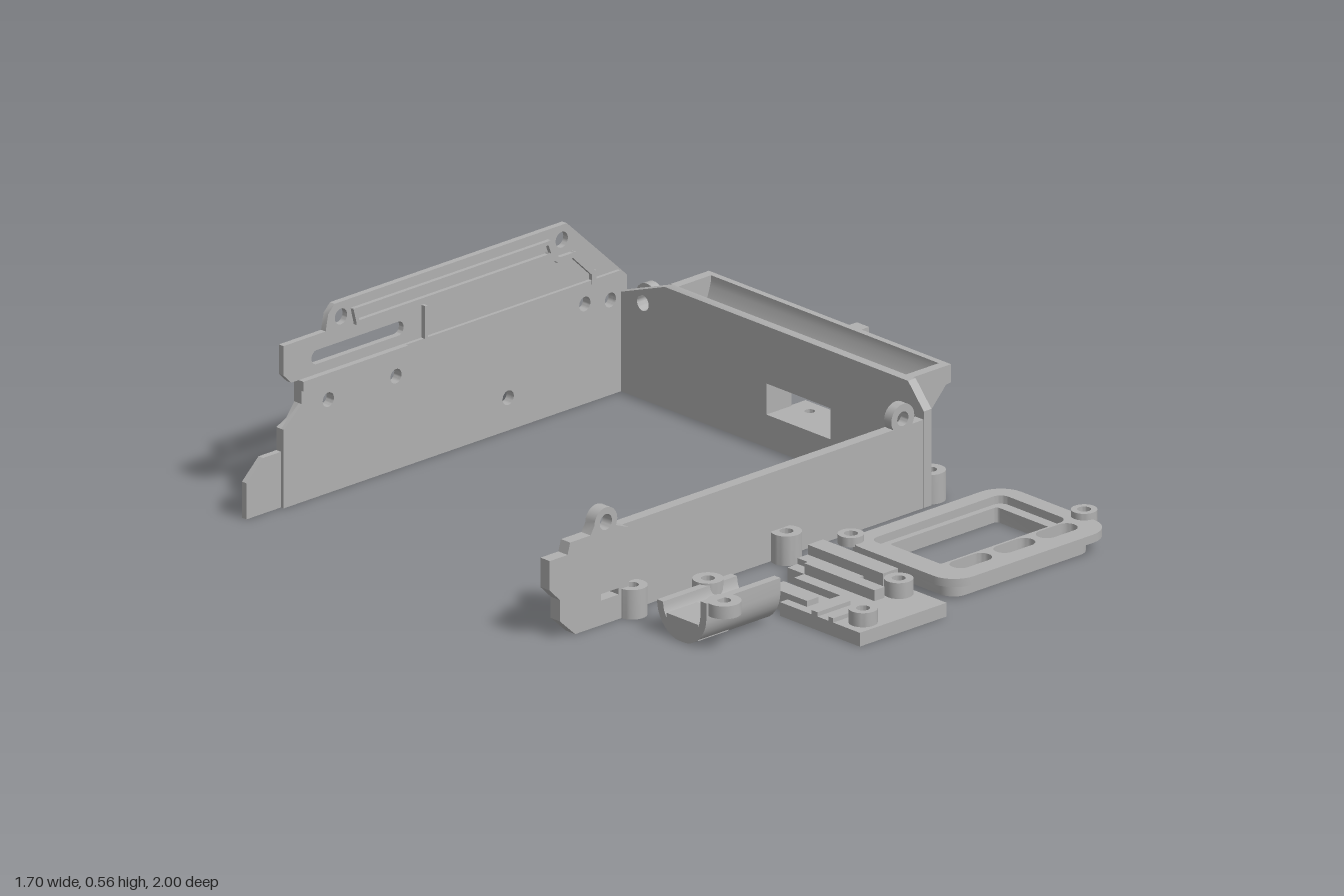
import * as THREE from 'three';
import { toCreasedNormals } from 'three/addons/utils/BufferGeometryUtils.js';

const grey = new THREE.MeshStandardMaterial({ color: 0xb0b0b0 });
grey.name = 'plain grey';

// Outlines as point lists
const rect = (x0, y0, x1, y1) => [[x0, y0], [x1, y0], [x1, y1], [x0, y1]];
const arc = (cx, cy, r, a0 = 0, a1 = 360, n = 28) =>
  Array.from({ length: n }, (_, i) => {
    const a = THREE.MathUtils.degToRad(a0 + (a1 - a0) * i / (a1 - a0 === 360 ? n : n - 1));
    return [cx + r * Math.cos(a), cy + r * Math.sin(a)];
  });
const rounded = (x0, y0, x1, y1, r) => [
  ...arc(x1 - r, y1 - r, r, 0, 90, 8), ...arc(x0 + r, y1 - r, r, 90, 180, 8),
  ...arc(x0 + r, y0 + r, r, 180, 270, 8), ...arc(x1 - r, y0 + r, r, 270, 360, 8)];
const toVec = pts => pts.map(p => new THREE.Vector2(...p));

// Slab between lo and hi along an axis; outline is (x,y) for z, (x,z) for y, (z,y) for x
function slab(parent, name, axis, lo, hi, outline, holes = []) {
  const shape = new THREE.Shape(toVec(outline));
  shape.holes = holes.map(h => new THREE.Path(toVec(h)));
  let g = new THREE.ExtrudeGeometry(shape, { depth: hi - lo, bevelEnabled: false });
  if (axis === 'z') g.translate(0, 0, lo);
  if (axis === 'y') g.rotateX(Math.PI / 2).translate(0, hi, 0);
  if (axis === 'x') g.rotateY(-Math.PI / 2).translate(hi, 0, 0);
  g = toCreasedNormals(g, 0.6);
  const mesh = new THREE.Mesh(g, grey);
  mesh.name = name;
  parent.add(mesh);
}
const box = (parent, name, x0, x1, y0, y1, z0, z1) =>
  slab(parent, name, 'y', y0, y1, rect(x0, z0, x1, z1));
const boss = (parent, name, x, z, y0, y1, r = 0.045, hole = 0.02) =>
  slab(parent, name, 'y', y0, y1, arc(x, z, r), [arc(x, z, hole)]);

// Raised bead following a polyline on the back wall
function bead(parent, pts, w, z0, z1) {
  for (let i = 0; i < pts.length - 1; i++) {
    const [a, b] = [pts[i], pts[i + 1]];
    const d = [b[0] - a[0], b[1] - a[1]], l = Math.hypot(...d);
    const u = [d[0] / l * w / 2, d[1] / l * w / 2];
    slab(parent, 'bead', 'z', z0, z1, [
      [a[0] - u[0] + u[1], a[1] - u[1] - u[0]], [b[0] + u[0] + u[1], b[1] + u[1] - u[0]],
      [b[0] + u[0] - u[1], b[1] + u[1] + u[0]], [a[0] - u[0] - u[1], a[1] - u[1] + u[0]]]);
  }
}

function backWall(p) {
  const low = [[-0.505, 0.285], [-0.24, 0.285], [0.5, 0.305], [0.6, 0.29], [0.2, 0.1]].map(c => arc(...c, 0.022));
  const high = [[-0.445, 0.52], [0.42, 0.52]].map(c => arc(...c, 0.024));
  slab(p, 'backWallSheet', 'z', -0.935, -0.916, [
    [-0.815, 0], [0.675, 0], [0.675, 0.345], [0.44, 0.565], [-0.47, 0.565], [-0.495, 0.54],
    [-0.505, 0.49], [-0.67, 0.49], [-0.67, 0.4], [-0.64, 0.37], [-0.61, 0.37], [-0.61, 0.3],
    [-0.64, 0.26], [-0.68, 0.24], [-0.68, 0.17], [-0.75, 0.17], [-0.815, 0.11]],
  [...low, ...high, rounded(-0.56, 0.4, -0.2, 0.443, 0.02)]);
  slab(p, 'backWallLiner', 'z', -0.916, -0.905,
    [[-0.68, 0], [0.66, 0], [0.66, 0.35], [0.64, 0.37], [-0.61, 0.37], [-0.61, 0.3], [-0.68, 0.24]], low);
  box(p, 'ledge', -0.61, -0.2, 0.34, 0.37, -0.905, -0.897);
  box(p, 'rib', -0.13, -0.12, 0.37, 0.47, -0.916, -0.9);
  bead(p, [[-0.4, 0.53], [0.36, 0.53], [0.375, 0.49], [-0.39, 0.49], [-0.4, 0.53]], 0.012, -0.916, -0.903);
  bead(p, [[0.36, 0.49], [0.4, 0.467], [0.455, 0.467], [0.535, 0.39], [0.535, 0.365]], 0.016, -0.916, -0.903);
}

function frontWall(p) {
  slab(p, 'frontWallPanel', 'z', 0.31, 0.345, rect(-0.57, 0, 0.67, 0.27));
  slab(p, 'frontWallEnd', 'z', 0.335, 0.373, [
    [-0.75, 0], [-0.54, 0], [-0.54, 0.27], [-0.59, 0.29], ...arc(-0.63, 0.31, 0.045, 0, 180, 12),
    [-0.69, 0.285], [-0.77, 0.285], [-0.78, 0.25], [-0.85, 0.25], [-0.85, 0.16], [-0.81, 0.12], [-0.81, 0.055]],
  [arc(-0.63, 0.31, 0.024), rect(-0.65, 0.075, -0.58, 0.095)]);
  slab(p, 'frontWallEar', 'z', 0.315, 0.345, arc(0.56, 0.295, 0.045), [arc(0.56, 0.295, 0.022)]);
}

function sideWall(p) {
  slab(p, 'sideWallPanel', 'x', 0.642, 0.672,
    [[0.345, 0], [0.345, 0.295], [0.28, 0.37], [-0.725, 0.37], [-0.93, 0.295], [-0.93, 0]],
    [rect(-0.305, 0.1, -0.04, 0.195), arc(-0.815, 0.295, 0.024)]);
  slab(p, 'sideEar', 'x', 0.672, 0.7,
    [...arc(-0.83, 0.295, 0.047, 0, 180, 14), [-0.877, 0.11], [-0.86, 0.09], [-0.79, 0.09]],
    [arc(-0.815, 0.295, 0.024)]);
  // Open tray with a curved floor
  const curve = new THREE.QuadraticBezierCurve(
    new THREE.Vector2(0.8, 0.355), new THREE.Vector2(0.775, 0.235), new THREE.Vector2(0.67, 0.22));
  const outer = [[0.67, 0.195], [0.688, 0.195], [0.8, 0.312], [0.82, 0.315], [0.82, 0.37]];
  slab(p, 'tray', 'z', -0.7, 0.24, [...outer, [0.8, 0.37], ...curve.getPoints(14).map(v => [v.x, v.y])]);
  for (const z of [-0.73, 0.24]) slab(p, 'trayEnd', 'z', z, z + 0.03, [...outer, [0.67, 0.37]]);
  box(p, 'trayTab', 0.82, 0.85, 0.345, 0.37, -0.15, -0.1);
  // Slotted mount below the tray
  const wedge = [[0.69, 0.21], [0.8, 0.21], [0.8, 0.3], [0.79, 0.3]];
  for (const [a, b] of [[-0.31, -0.247], [-0.223, -0.112], [-0.088, -0.04]])
    slab(p, 'mountBlock', 'z', a, b, wedge);
  box(p, 'mountBase', 0.67, 0.8, 0.195, 0.225, -0.31, -0.04);
  box(p, 'mountSide', 0.67, 0.74, 0.06, 0.245, -0.4, -0.305);
  const holes = [-0.24, -0.12];
  slab(p, 'mountLedge', 'y', 0.062, 0.1, rect(0.67, -0.31, 0.8, -0.04), holes.map(z => arc(0.75, z, 0.015)));
  holes.forEach(z => boss(p, 'trayBoss', 0.75, z, 0.23, 0.3, 0.046, 0.015));
}

function clip(p) {
  // J-shaped cradle lying along x
  slab(p, 'cradle', 'x', -0.57, -0.28, [
    [0.725, 0.145], ...arc(0.623, 0.1, 0.102, 0, -180, 20).map(([z, y]) => [z, Math.max(y, 0)]),
    [0.546, 0.1], ...arc(0.623, 0.1, 0.077, 180, 360, 20), [0.7, 0.145]]);
  box(p, 'cradleStop', -0.57, -0.45, 0.02, 0.07, 0.56, 0.69);
  boss(p, 'clipFrontEar', -0.515, 0.74, 0.106, 0.145, 0.05);
  boss(p, 'clipBackEar', -0.36, 0.51, 0.065, 0.105);
}

function bracket(p) {
  slab(p, 'bracketBase', 'y', 0, 0.042, [
    [-0.23, 1], [-0.23, 0.67], [-0.2, 0.67], [-0.2, 0.56], [-0.11, 0.56], [-0.11, 0.75], [-0.07, 0.75],
    [-0.07, 0.56], [-0.03, 0.56], [-0.03, 0.49], [0.11, 0.49], [0.11, 1]]);
  box(p, 'leftPad', -0.2, -0.155, 0.042, 0.06, 0.56, 0.75);
  box(p, 'leftRail', -0.23, -0.1, 0.042, 0.055, 0.8, 0.825);
  box(p, 'leftRail', -0.23, -0.1, 0.042, 0.055, 0.87, 0.89);
  box(p, 'middleStep', -0.03, 0.01, 0.042, 0.075, 0.56, 0.85);
  box(p, 'rightBlock', 0.05, 0.11, 0.042, 0.09, 0.49, 0.8);
  box(p, 'rightStep', 0.01, 0.05, 0.042, 0.06, 0.49, 0.72);
  boss(p, 'bracketBoss', -0.165, 0.945, 0.042, 0.085, 0.042);
  boss(p, 'bracketBoss', 0.06, 0.855, 0.042, 0.09, 0.042);
}

function bezel(p) {
  const slots = [[0.265, 0.408], [0.437, 0.577], [0.603, 0.743]].map(([a, b]) => rounded(a, 0.83, b, 0.893, 0.031));
  slab(p, 'bezelBody', 'y', 0, 0.045, rounded(0.215, 0.535, 0.765, 0.915, 0.05),
    [rounded(0.3, 0.565, 0.72, 0.8, 0.012), ...slots]);
  slab(p, 'bezelFlange', 'y', 0.045, 0.07, rounded(0.178, 0.493, 0.808, 0.955, 0.08),
    [rounded(0.24, 0.545, 0.755, 0.822, 0.03), ...slots]);
  boss(p, 'bezelEar', 0.2, 0.51, 0.062, 0.09, 0.038);
  boss(p, 'bezelEar', 0.81, 0.83, 0.05, 0.09, 0.038);
}

export function createModel() {
  const model = new THREE.Group();
  const parts = { backWall, frontWall, sideWall, clip, bracket, bezel };
  for (const [name, build] of Object.entries(parts)) {
    const part = new THREE.Group();
    part.name = name;
    build(part);
    model.add(part);
  }
  // Screw bosses along the foot of the walls
  for (const x of [-0.525, 0.08])
    for (const z of [-0.955, 0.37]) boss(model, 'footBoss', x, z, 0, 0.09);
  for (const z of [-0.885, 0.305]) boss(model, 'cornerBoss', 0.705, z, 0, 0.09);
  return model;
}
